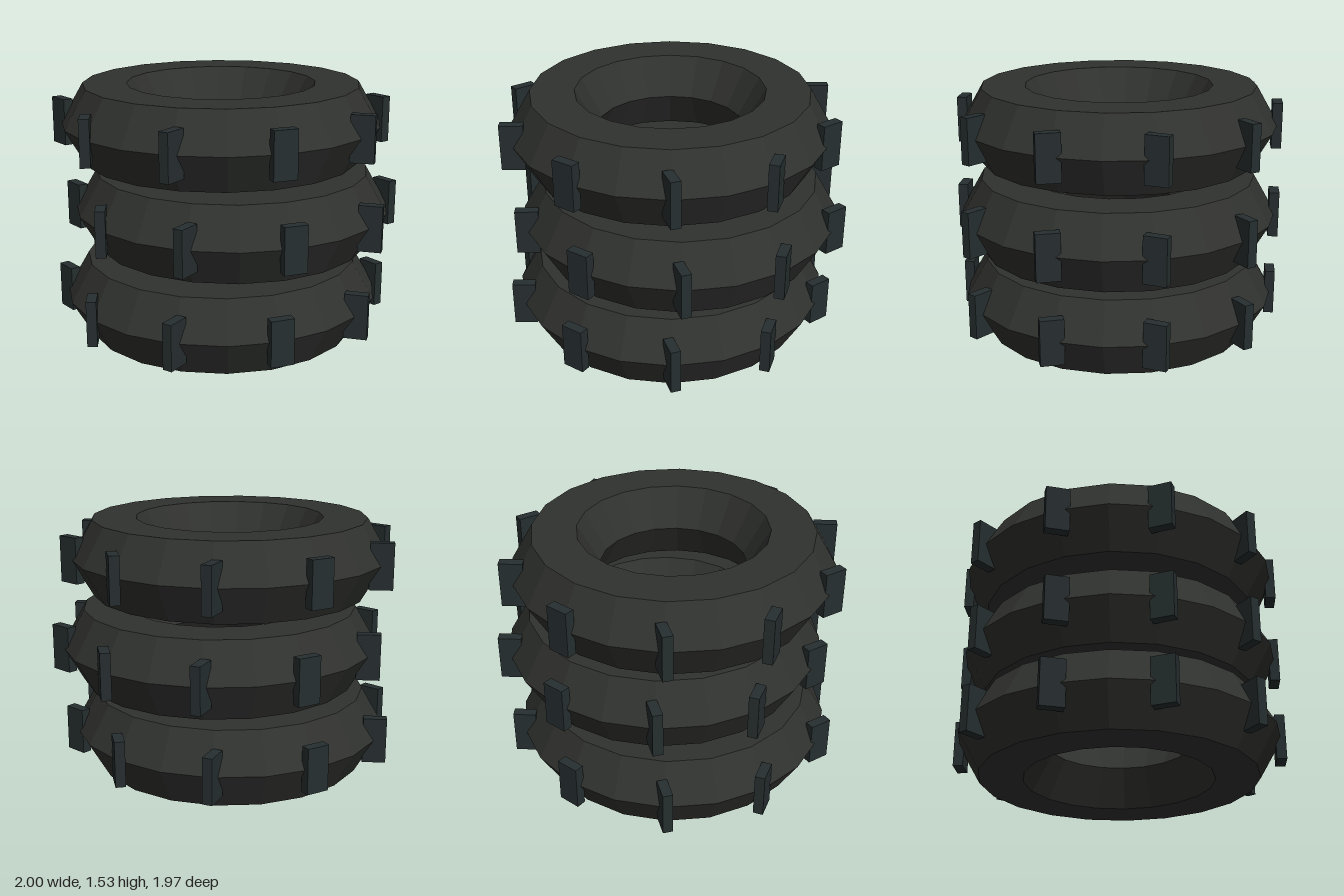
import * as THREE from 'three';

const TUBE = 0.264, RING = 0.70, HALF_HEIGHT = TUBE * Math.sin(Math.PI / 3);
const SPACING = 0.534, SHIFT = 0.035, LUGS = 10;

export function createModel() {
  const model = new THREE.Group();
  model.name = 'tireStack';

  const rubber = new THREE.MeshStandardMaterial({ color: 0x30322f, flatShading: true });
  const tread = new THREE.MeshStandardMaterial({ color: 0x262e2f, flatShading: true });

  // Hexagonal section swept round twenty sides
  const ringGeometry = new THREE.TorusGeometry(RING, TUBE, 6, 20).rotateX(Math.PI / 2);
  const lugGeometry = new THREE.BoxGeometry(0.06, 0.277, 0.14);

  // Three tires, the middle one shifted sideways
  for (let i = 0; i < 3; i++) {
    const tire = new THREE.Group();
    tire.name = `tire${i + 1}`;
    tire.position.set(i === 1 ? SHIFT : -SHIFT, HALF_HEIGHT + i * SPACING, 0);

    const ring = new THREE.Mesh(ringGeometry, rubber);
    ring.name = 'tireRing';
    tire.add(ring);

    // Tread lugs, turned against the direction of travel so they sit askew
    for (let k = 0; k < LUGS; k++) {
      const a = ((k + 0.5) / LUGS) * Math.PI * 2;
      const lug = new THREE.Mesh(lugGeometry, tread);
      lug.name = `treadLug${k + 1}`;
      lug.position.set(Math.cos(a) * 0.955, 0, Math.sin(a) * 0.955);
      lug.rotation.y = a;
      tire.add(lug);
    }
    model.add(tire);
  }
  return model;
}
